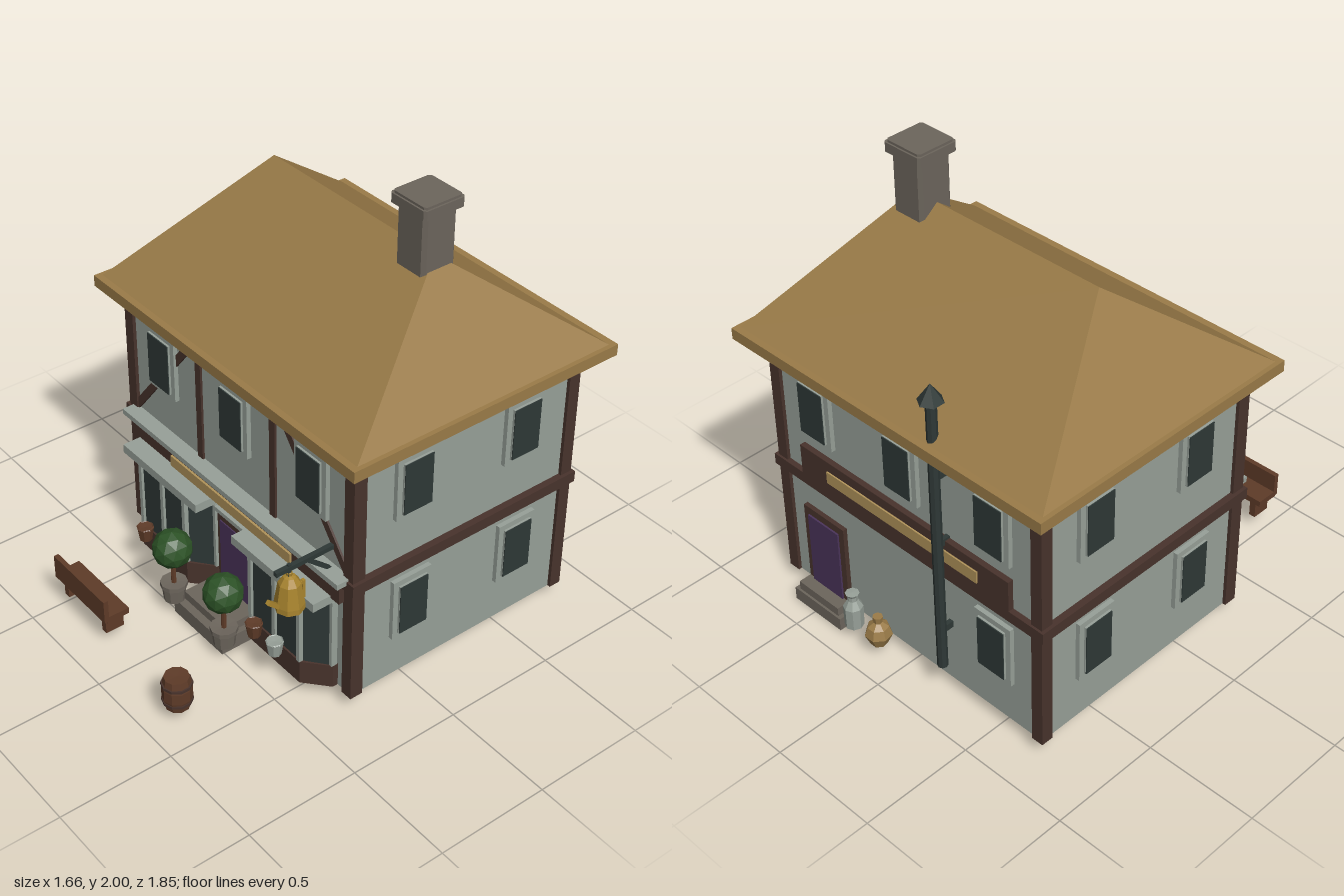
import * as THREE from 'three';

const mat = (name, color, extra = {}) => {
  const m = new THREE.MeshStandardMaterial({ color, flatShading: true, ...extra });
  m.name = name;
  return m;
};

export function createModel() {
  const root = new THREE.Group();
  const thatch = mat('thatch', 0x9a7b48);
  const plaster = mat('plaster', 0x97a098, { side: THREE.DoubleSide });
  const timber = mat('timber', 0x48332c);
  const glass = mat('glass and iron', 0x2e3836);
  const paint = mat('door paint', 0x4a345a);
  const wood = mat('wood', 0x5e3b28);
  const stone = mat('stone', 0x6c655c);
  const brass = mat('brass', 0xa8842e);
  const board = mat('sign board', 0xb0935a);
  const leaf = mat('leaf', 0x2c5226, { side: THREE.DoubleSide });

  const add = (name, geo, m, x = 0, y = 0, z = 0, parent = root) => {
    const mesh = new THREE.Mesh(geo, m);
    mesh.name = name;
    mesh.position.set(x, y, z);
    parent.add(mesh);
    return mesh;
  };
  // box given by its limits
  const box = (name, m, x0, x1, y0, y1, z0, z1, parent) =>
    add(name, new THREE.BoxGeometry(x1 - x0, y1 - y0, z1 - z0), m,
      (x0 + x1) / 2, (y0 + y1) / 2, (z0 + z1) / 2, parent);
  // square bar between two points
  const bar = (name, m, a, b, w, d = w) => {
    const p = new THREE.Vector3(...a), q = new THREE.Vector3(...b);
    const mesh = add(name, new THREE.BoxGeometry(w, p.distanceTo(q), d), m);
    mesh.position.copy(p).add(q).multiplyScalar(0.5);
    mesh.quaternion.setFromUnitVectors(new THREE.Vector3(0, 1, 0), q.sub(p).normalize());
    return mesh;
  };
  const lathe = (name, m, pts, seg, x, y, z) =>
    add(name, new THREE.LatheGeometry(pts.map(p => new THREE.Vector2(...p)), seg), m, x, y, z);

  // walls, open underneath
  const shell = new THREE.BoxGeometry(1.45, 1.15, 1.105);
  const idx = Array.from(shell.index.array);
  idx.splice(18, 6);
  shell.setIndex(idx);
  shell.clearGroups();
  add('walls', shell, plaster, 0, 0.645, -0.2575);

  // corner posts, belt and top beam
  for (const s of [-1, 1]) {
    const xa = s < 0 ? -0.74 : 0.685, xb = s < 0 ? -0.685 : 0.74;
    box('cornerPost', timber, xa, xb, 0.07, 1.22, 0.25, 0.31);
    box('cornerPost', timber, xa, xb, 0.07, 1.22, -0.825, -0.77);
    const ba = s < 0 ? -0.755 : 0.70, bb = s < 0 ? -0.70 : 0.755;
    box('sideBelt', timber, ba, bb, 0.61, 0.66, -0.835, 0.32);
  }
  box('backBelt', timber, -0.75, 0.75, 0.61, 0.66, -0.835, -0.80);
  box('topBeam', timber, -0.75, 0.75, 1.2, 1.235, -0.83, 0.315);

  // hipped roof
  box('eaves', thatch, -0.83, 0.83, 1.23, 1.28, -0.92, 0.39);
  const roof = new THREE.BoxGeometry(1.62, 0.48, 1.25);
  const rp = roof.attributes.position;
  for (let i = 0; i < rp.count; i++)
    if (rp.getY(i) > 0) rp.setXYZ(i, Math.sign(rp.getX(i)) * 0.48, 0.24, 0);
  roof.computeVertexNormals();
  add('roof', roof, thatch, 0, 1.52, -0.265);

  // chimney with chamfered corners
  const slab = (name, w, h, y, c) => {
    const a = w / 2, b = a - c, s = new THREE.Shape();
    [[a, -b], [a, b], [b, a], [-b, a], [-a, b], [-a, -b], [-b, -a], [b, -a]]
      .forEach((p, i) => (i ? s.lineTo(...p) : s.moveTo(...p)));
    const g = new THREE.ExtrudeGeometry(s, { depth: h, bevelEnabled: false }).rotateX(-Math.PI / 2);
    add(name, g, stone, 0.43, y, -0.265);
  };
  slab('chimney', 0.16, 0.42, 1.53, 0.015);
  slab('chimneyCap', 0.195, 0.04, 1.95, 0.01);
  slab('chimneyCapTop', 0.18, 0.012, 1.988, 0.01);

  // windows: stepped surround with a pane
  const windowAt = (x, y, z, ry) => {
    const g = new THREE.Group();
    g.name = 'window';
    g.position.set(x, y, z);
    g.rotation.y = ry;
    root.add(g);
    box('windowSurround', plaster, -0.095, 0.095, -0.143, 0.143, -0.01, 0.02, g);
    box('windowFrame', plaster, -0.07, 0.07, -0.118, 0.118, 0.02, 0.029, g);
    box('windowPane', glass, -0.069, 0.069, -0.116, 0.116, 0.026, 0.033, g);
  };
  for (const x of [-0.485, 0, 0.485]) {
    windowAt(x, 1.005, 0.295, 0);
    windowAt(x, 1.005, -0.81, Math.PI);
  }
  windowAt(-0.485, 0.415, -0.81, Math.PI);
  for (const s of [-1, 1]) for (const z of [0.013, -0.535]) for (const y of [1.005, 0.415])
    windowAt(s * 0.725, y, z, s * Math.PI / 2);

  // upper front timbers
  for (const s of [-1, 1]) {
    bar('upperPost', timber, [s * 0.24, 0.66, 0.295], [s * 0.24, 1.21, 0.295], 0.035, 0.02);
    bar('brace', timber, [s * 0.7, 0.67, 0.295], [s * 0.27, 1.21, 0.295], 0.035, 0.018);
  }

  // shop front
  box('fascia', timber, -0.69, 0.69, 0.54, 0.645, 0.28, 0.335);
  box('frontCornice', plaster, -0.715, 0.715, 0.643, 0.668, 0.28, 0.365);
  box('frontCorniceEndBeam', timber, -0.755, 0.755, 0.612, 0.655, 0.28, 0.32);
  box('frontSign', board, -0.4, 0.4, 0.55, 0.6, 0.33, 0.345);
  const bay = (name, m, y0, y1, o) => {
    const s = new THREE.Shape();
    s.moveTo(-0.255 - o, 0.29);
    s.lineTo(0.255 + o, 0.29);
    s.lineTo(0.255 + o, 0.32);
    s.lineTo(0.155 + o, 0.4 + o);
    s.lineTo(-0.155 - o, 0.4 + o);
    s.lineTo(-0.255 - o, 0.32);
    const g = new THREE.ExtrudeGeometry(s, { depth: y1 - y0, bevelEnabled: false });
    g.rotateX(Math.PI / 2);
    for (const d of [-1, 1]) add(name, g, m, d * 0.38, y1, 0);
  };
  bay('bayBase', timber, 0.07, 0.18, 0.008);
  bay('bayGlass', glass, 0.18, 0.51, 0);
  for (const s of [-1, 1]) {
    const c = s * 0.38;
    box('bayCornice', plaster, c - 0.26, c + 0.26, 0.51, 0.55, 0.28, 0.42);
    for (const d of [-0.155, 0, 0.155])
      box('mullion', plaster, c + d - 0.01, c + d + 0.01, 0.18, 0.51, 0.39, 0.412);
    for (const d of [-0.255, 0.255])
      box('mullion', plaster, c + d - 0.008, c + d + 0.008, 0.18, 0.51, 0.3, 0.328);
  }

  // doors with steps
  box('frontDoorFrame', timber, -0.125, 0.125, 0.1, 0.485, 0.28, 0.315);
  box('frontDoor', paint, -0.097, 0.092, 0.11, 0.44, 0.312, 0.32);
  box('frontDoorLintel', plaster, -0.125, 0.125, 0.485, 0.505, 0.28, 0.33);
  box('frontLowerStep', stone, -0.17, 0.165, 0, 0.07, 0.33, 0.51);
  box('frontUpperStep', stone, -0.145, 0.14, 0.07, 0.11, 0.31, 0.475);
  box('backDoorFrame', timber, 0.36, 0.6, 0.09, 0.48, -0.83, -0.8);
  box('backDoor', paint, 0.39, 0.57, 0.1, 0.445, -0.838, -0.829);
  box('backLowerStep', stone, 0.34, 0.62, 0, 0.06, -0.9, -0.81);
  box('backUpperStep', stone, 0.36, 0.6, 0.06, 0.1, -0.89, -0.81);

  // back sign
  box('backFascia', timber, -0.58, 0.58, 0.66, 0.8, -0.835, -0.8);
  box('backSign', board, -0.42, 0.42, 0.7, 0.755, -0.842, -0.834);

  // stove pipe
  add('stovePipe', new THREE.CylinderGeometry(0.022, 0.022, 1.29, 8), glass, -0.24, 0.825, -0.865);
  add('pipeHat', new THREE.ConeGeometry(0.052, 0.075, 6), glass, -0.24, 1.498, -0.865);
  for (const y of [0.35, 0.78, 1.1]) box('pipeBracket', glass, -0.25, -0.23, y, y + 0.03, -0.85, -0.8);

  // hanging kettle on its bracket
  box('bracketArm', glass, 0.6, 0.62, 0.752, 0.772, 0.3, 0.575);
  bar('bracketBrace', glass, [0.61, 0.66, 0.315], [0.61, 0.752, 0.42], 0.016);
  box('kettleHanger', glass, 0.603, 0.617, 0.72, 0.78, 0.503, 0.517);
  lathe('kettle', brass, [[0, 0], [0.06, 0], [0.06, 0.025], [0.045, 0.12], [0.025, 0.15],
    [0.01, 0.155], [0.012, 0.17], [0, 0.175]], 8, 0.61, 0.57, 0.508);
  bar('kettleSpout', brass, [0.61, 0.59, 0.55], [0.61, 0.645, 0.61], 0.018);
  box('kettleHandle', brass, 0.603, 0.617, 0.585, 0.67, 0.437, 0.45);
  for (const y of [0.592, 0.655]) box('kettleHandleArm', brass, 0.603, 0.617, y, y + 0.013, 0.44, 0.475);

  // potted trees
  for (const s of [-1, 1]) {
    const x = s * 0.175;
    lathe('treePot', stone, [[0, 0], [0.045, 0], [0.052, 0.07], [0.058, 0.07], [0.058, 0.09],
      [0, 0.085]], 10, x, 0.07, 0.505);
    add('treeTrunk', new THREE.CylinderGeometry(0.011, 0.012, 0.15, 6), wood, x, 0.22, 0.505);
    add('treeCrown', new THREE.IcosahedronGeometry(0.086, 1), leaf, x, 0.335, 0.505);
  }

  // buckets beside the bays
  for (const [x, m] of [[-0.45, wood], [-0.315, plaster], [0.31, wood], [0.445, plaster]]) {
    lathe('bucket', m, [[0, 0], [0.027, 0], [0.037, 0.065], [0, 0.062]], 8, x, 0.182, 0.455);
    add('bucketRim', new THREE.TorusGeometry(0.034, 0.004, 4, 8).rotateX(Math.PI / 2), m, x, 0.245, 0.455);
  }

  // bench facing the shop
  box('benchSeat', wood, -0.505, -0.135, 0.15, 0.178, 0.755, 0.86);
  box('benchBack', wood, -0.505, -0.135, 0.155, 0.265, 0.85, 0.872);
  for (const x of [-0.46, -0.18]) box('benchLeg', wood, x - 0.015, x + 0.015, 0.07, 0.15, 0.765, 0.85);

  // barrel with hoops
  lathe('barrel', wood, [[0, 0], [0.052, 0], [0.062, 0.05], [0.062, 0.1], [0.052, 0.15], [0, 0.147]],
    10, 0.345, 0.07, 0.855);
  for (const y of [0.105, 0.185])
    add('barrelHoop', new THREE.CylinderGeometry(0.064, 0.064, 0.012, 10), timber, 0.345, y, 0.855);

  // milk can and jug at the back
  lathe('milkCan', plaster, [[0, 0], [0.04, 0], [0.042, 0.1], [0.022, 0.135], [0.022, 0.155],
    [0.03, 0.17], [0, 0.172]], 8, 0.27, 0.07, -0.88);
  lathe('jug', thatch, [[0, 0], [0.035, 0], [0.058, 0.05], [0.045, 0.09], [0.018, 0.11],
    [0.022, 0.14], [0, 0.14]], 7, 0.12, 0.07, -0.88);

  return root;
}
